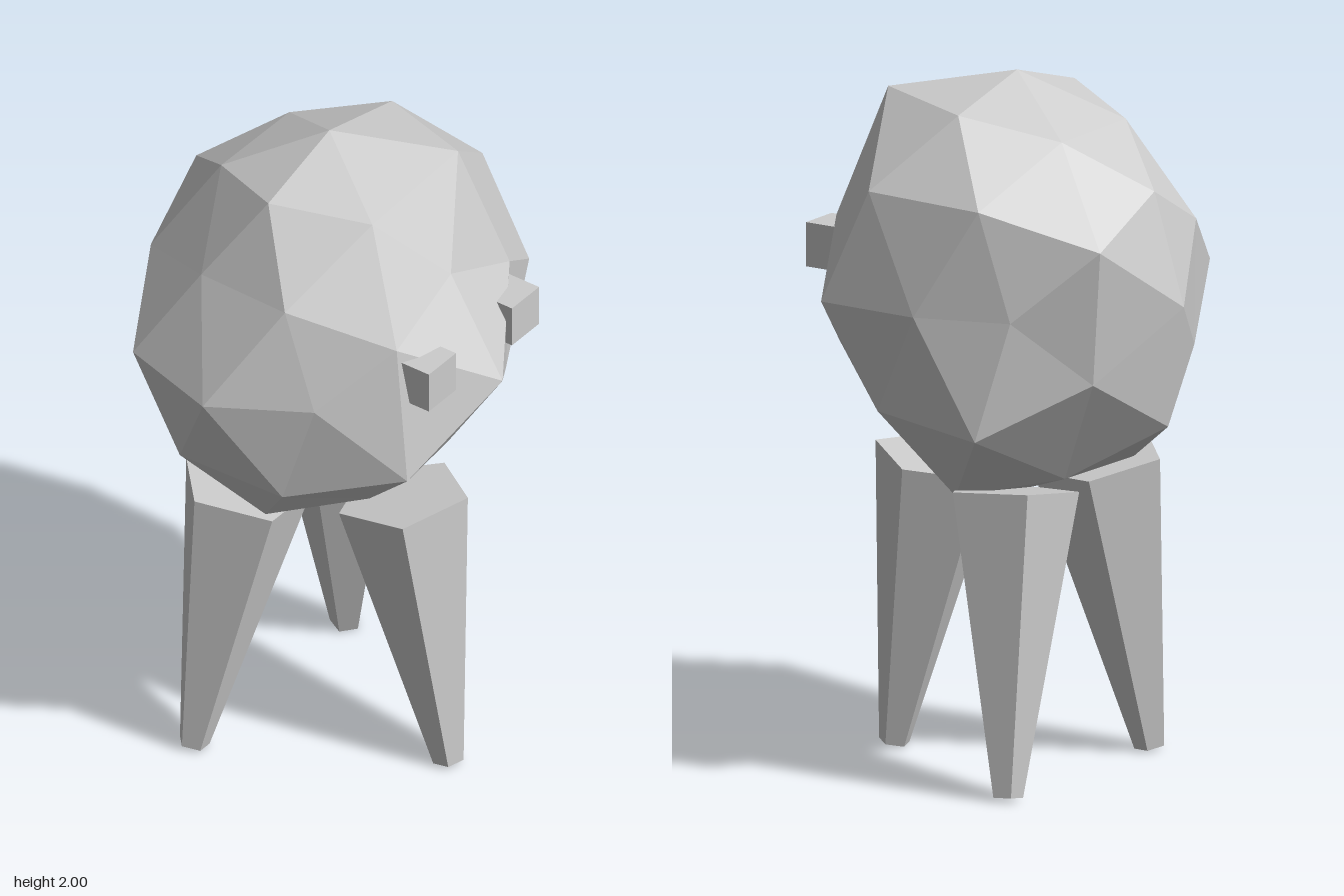
import * as THREE from 'three';

const CENTER = new THREE.Vector3(-0.02, 1.395, -0.04);

// Radius of the faceted body along each direction, keyed by the signs of x, y, z
// (directions off every axis plane come in groups by their dominant axis).
const RADII = {
  '+00': 0.6, '-00': 0.56, '0+0': 0.54, '0-0': 0.54, '00+': 0.595, '00-': 0.52,
  '0++': 0.546, '0+-': 0.56, '0-+': 0.57, '0--': 0.585,
  '+0+': 0.51, '+0-': 0.6, '-0+': 0.59, '-0-': 0.507,
  '++0': 0.495, '+-0': 0.486, '-+0': 0.542, '--0': 0.596,
  x: { '+++': 0.53, '++-': 0.53, '+-+': 0.613, '+--': 0.52, '-++': 0.525, '-+-': 0.59, '--+': 0.52, '---': 0.54 },
  y: { '+++': 0.547, '++-': 0.612, '+-+': 0.51, '+--': 0.515, '-++': 0.515, '-+-': 0.512, '--+': 0.555, '---': 0.55 },
  z: { '+++': 0.535, '++-': 0.585, '+-+': 0.566, '+--': 0.55, '-++': 0.49, '-+-': 0.555, '--+': 0.572, '---': 0.607 },
};

function radiusAlong(v) {
  const parts = v.toArray();
  const key = parts.map((c) => (Math.abs(c) < 0.01 ? '0' : c > 0 ? '+' : '-')).join('');
  if (key.includes('0')) return RADII[key];
  const size = parts.map(Math.abs);
  return RADII['xyz'[size.indexOf(Math.max(...size))]][key];
}

// Irregular boulder: a subdivided icosahedron, taller than wide
function bodyGeometry() {
  const geometry = new THREE.IcosahedronGeometry(1, 1).rotateY(Math.PI / 2);
  const position = geometry.attributes.position;
  const v = new THREE.Vector3();
  for (let i = 0; i < position.count; i++) {
    v.fromBufferAttribute(position, i);
    v.multiplyScalar(radiusAlong(v));
    position.setXYZ(i, v.x, v.y * 1.12, v.z);
  }
  geometry.computeVertexNormals();
  return geometry;
}

export function createModel() {
  const model = new THREE.Group();
  model.name = 'threeLeggedCreature';
  const grey = new THREE.MeshStandardMaterial({ color: 0xcccccc, flatShading: true });
  grey.name = 'lightGrey';

  const body = new THREE.Mesh(bodyGeometry(), grey);
  body.name = 'body';
  body.position.copy(CENTER);
  model.add(body);

  // Square eyes on the +x side
  for (const side of [-1, 1]) {
    const eye = new THREE.Mesh(new THREE.BoxGeometry(0.125, 0.127, 0.127), grey);
    eye.name = side > 0 ? 'frontEye' : 'backEye';
    eye.position.set(0.453, 1.476, CENTER.z + side * 0.195);
    model.add(eye);
  }

  // Three five-sided tapered legs, splayed outwards
  const legGeometry = new THREE.CylinderGeometry(0.191, 0.045, 0.857, 5).rotateY(Math.PI);
  for (let i = 0; i < 3; i++) {
    const pivot = new THREE.Group();
    pivot.name = `legPivot${i + 1}`;
    pivot.position.set(CENTER.x, 0, CENTER.z);
    pivot.rotation.y = (i * Math.PI * 2) / 3;
    const leg = new THREE.Mesh(legGeometry, grey);
    leg.name = `leg${i + 1}`;
    leg.position.set(0.335, 0.432, 0);
    leg.rotation.z = 0.182;
    pivot.add(leg);
    model.add(pivot);
  }
  return model;
}
